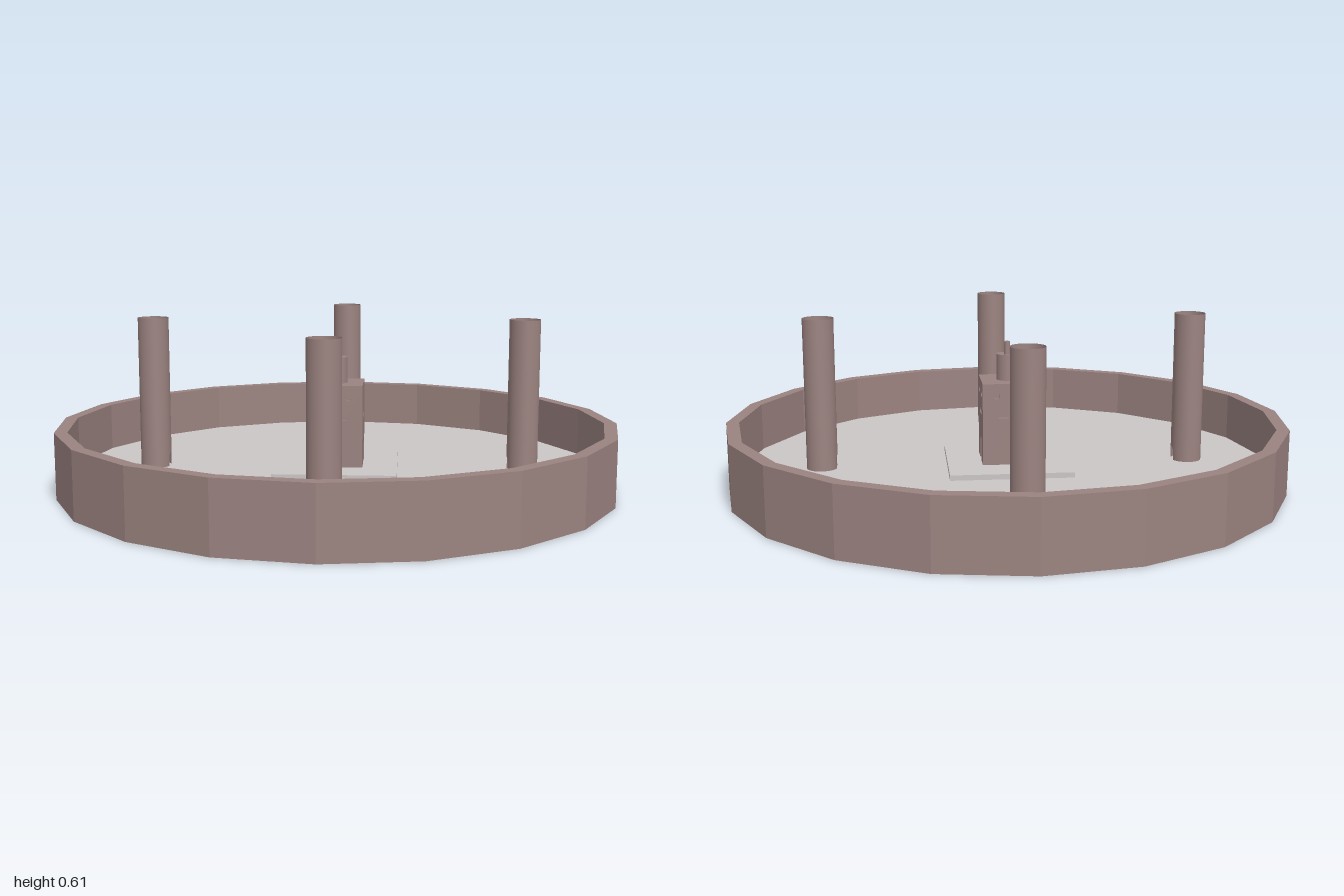
import * as THREE from 'three';

const brown = new THREE.MeshStandardMaterial({ color: 0x9b8380, flatShading: true });
const smoothBrown = new THREE.MeshStandardMaterial({ color: 0x9b8380, side: THREE.DoubleSide });
const pale = new THREE.MeshStandardMaterial({ color: 0xccc6c6, flatShading: true });

const FLOOR = 0.062;

function add(parent, name, geometry, material, x = 0, y = 0, z = 0) {
  const mesh = new THREE.Mesh(geometry, material);
  mesh.name = name;
  mesh.position.set(x, y, z);
  parent.add(mesh);
  return mesh;
}

// Thin open tube from y0 to y1 with a round-topped doorway at the foot, facing +z
function notchedTube(radius, y0, y1, doorHalf, doorHeight) {
  const geo = new THREE.CylinderGeometry(radius, radius, 1, 80, 1, true);
  const p = geo.attributes.position;
  for (let i = 0; i < p.count; i++) {
    if (p.getY(i) > 0) { p.setY(i, y1); continue; }
    const x = p.getX(i);
    const inDoor = p.getZ(i) > 0 && Math.abs(x) < doorHalf;
    const arch = doorHeight - doorHalf + Math.sqrt(Math.max(0, doorHalf ** 2 - x * x));
    p.setY(i, inDoor ? y0 + arch : y0);
  }
  return geo;
}

// House wall with two round eyes, a mouth slot and an optional arched door
function wallGeometry(width, y0, y1, thickness, door) {
  const w = width / 2, s = new THREE.Shape();
  s.moveTo(-w, y0);
  if (door) {
    s.lineTo(-0.025, y0);
    s.lineTo(-0.025, 0.147);
    s.absarc(0, 0.147, 0.025, Math.PI, 0, true);
    s.lineTo(0.025, y0);
  }
  s.lineTo(w, y0);
  s.lineTo(w, y1);
  s.lineTo(-w, y1);
  s.closePath();
  for (const x of [-0.045, 0.045]) {
    s.holes.push(new THREE.Path().absarc(x, 0.333, 0.013, 0, Math.PI * 2, true));
  }
  s.holes.push(new THREE.Path([
    [-0.038, 0.251], [-0.038, 0.265], [0.038, 0.265], [0.038, 0.251],
  ].map(([x, y]) => new THREE.Vector2(x, y))));
  return new THREE.ExtrudeGeometry(s, { depth: thickness, bevelEnabled: false, curveSegments: 8 });
}

export function createModel() {
  const model = new THREE.Group();
  model.name = 'walledCourtyard';

  // Twenty-sided floor and its surrounding wall
  add(model, 'floor', new THREE.CylinderGeometry(0.995, 0.995, FLOOR, 20), pale, 0, FLOOR / 2);
  const profile = [[1, 0.001], [1, 0.235], [0.955, 0.235], [0.955, 0.001], [1, 0.001]]
    .map(([x, y]) => new THREE.Vector2(x, y));
  add(model, 'outerWall', new THREE.LatheGeometry(profile, 20), brown);

  // Four hollow towers, doorways facing the middle
  const towerGeo = notchedTube(0.055, 0.002, 0.605, 0.02, 0.11);
  for (let i = 0; i < 4; i++) {
    const a = i * Math.PI / 2;
    const tower = add(model, 'tower', towerGeo, smoothBrown,
      Math.sin(a) * 0.667, 0, Math.cos(a) * 0.667);
    tower.rotation.y = a + Math.PI;
  }

  // Square terrace with a short path
  add(model, 'terrace', new THREE.BoxGeometry(0.436, 0.02, 0.436), pale, 0, FLOOR + 0.009, 0);
  add(model, 'path', new THREE.BoxGeometry(0.026, 0.02, 0.085), pale, 0, FLOOR + 0.009, 0.26);

  // Hollow house with a face on every side and the door on +x
  const house = new THREE.Group();
  house.name = 'house';
  model.add(house);
  const size = 0.188, t = 0.014, y0 = 0.07, top = 0.375;
  for (let i = 0; i < 4; i++) {
    const width = i % 2 ? size - 2 * t : size;
    const pivot = new THREE.Group();
    pivot.name = 'houseSide';
    pivot.rotation.y = i * Math.PI / 2;
    add(pivot, 'houseWall', wallGeometry(width, y0, top - t, t, i === 1), brown, 0, 0, size / 2 - t);
    house.add(pivot);
  }
  add(house, 'roof', new THREE.BoxGeometry(size, t, size), brown, 0, top - t / 2, 0);

  // Turret on the roof with a small pipe
  add(house, 'turret', notchedTube(0.037, top, 0.468, 0.014, 0.04), smoothBrown);
  const cap = add(house, 'turretTop', new THREE.CircleGeometry(0.037, 40), smoothBrown, 0, 0.468, 0);
  cap.rotation.x = -Math.PI / 2;
  add(house, 'pipe', new THREE.CylinderGeometry(0.011, 0.011, 0.05, 20), smoothBrown, 0, 0.49, -0.016);

  return model;
}
